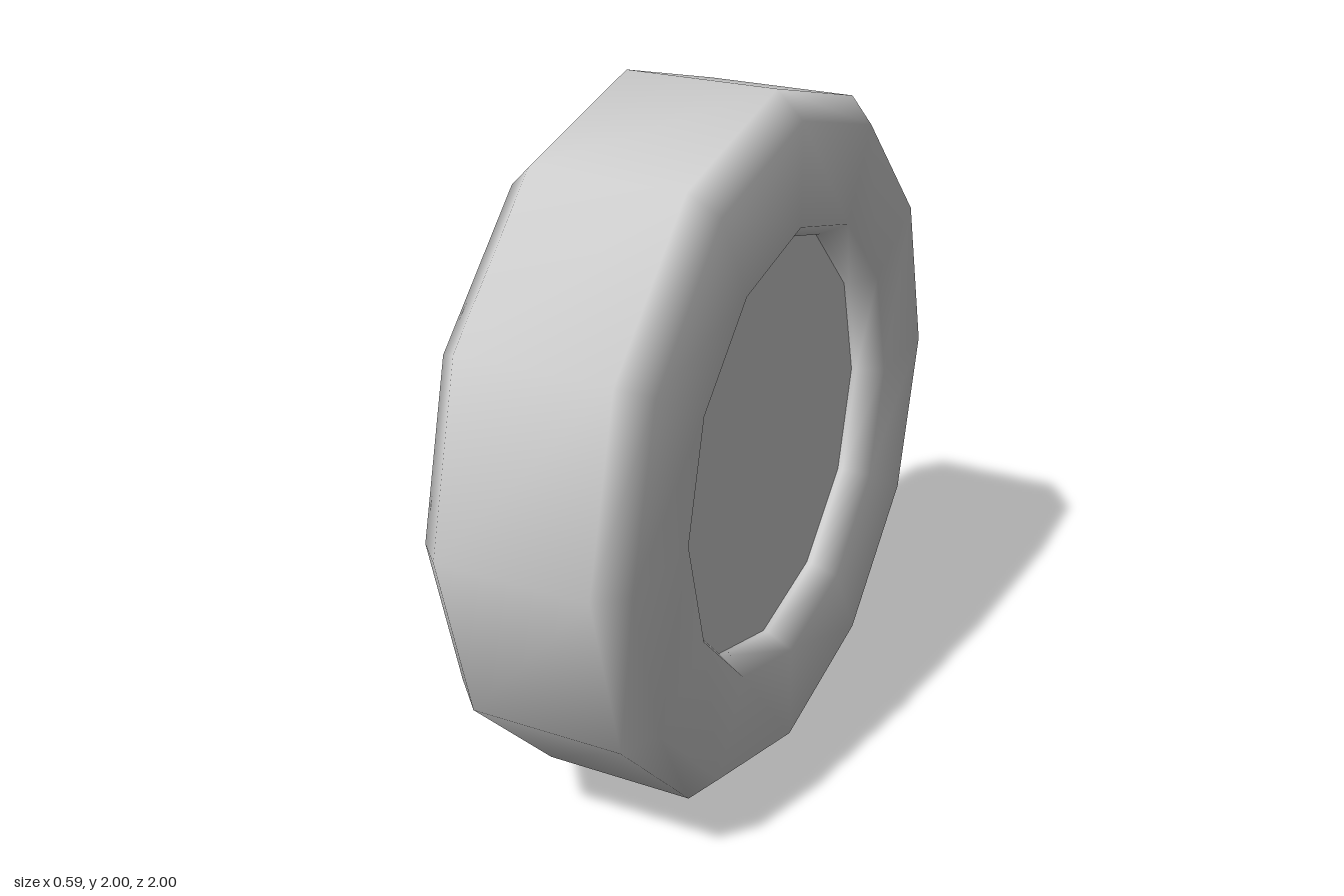
import * as THREE from 'three';
import { mergeVertices } from 'three/addons/utils/BufferGeometryUtils.js';

const SIDES = 12;
const OUTER = 1, INNER = 0.6;      // radii
const HALF = 0.295, SHOULDER = 0.22; // half width, and where the bevels start

export function createModel() {
  const group = new THREE.Group();
  group.name = 'wheel';
  const material = new THREE.MeshStandardMaterial({ color: 0xcccccc });

  // Tyre: closed, bevelled profile (radius, offset along the axle)
  const profile = [
    [OUTER, -SHOULDER], [OUTER, SHOULDER],
    [0.925, HALF], [0.64, HALF],
    [INNER, SHOULDER], [INNER, -SHOULDER],
    [0.64, -HALF], [0.925, -HALF],
    [OUTER, -SHOULDER],
  ].map(([r, x]) => new THREE.Vector2(r, x));
  let tyreGeo = new THREE.LatheGeometry(profile, SIDES);
  // Weld the seams so the shading runs smoothly over the bevels
  tyreGeo.deleteAttribute('uv');
  tyreGeo.deleteAttribute('normal');
  tyreGeo = mergeVertices(tyreGeo, 1e-4);
  tyreGeo.computeVertexNormals();
  tyreGeo.rotateZ(-Math.PI / 2);
  const tyre = new THREE.Mesh(tyreGeo, material);
  tyre.name = 'tyre';

  // Thin hub plate, set just inside the left opening
  const plateGeo = new THREE.CylinderGeometry(INNER, INNER, 0.03, SIDES);
  plateGeo.rotateZ(-Math.PI / 2);
  const plate = new THREE.Mesh(plateGeo, material);
  plate.name = 'hubPlate';
  plate.position.x = 0.19;

  group.add(tyre, plate);
  group.position.y = OUTER;
  return group;
}
